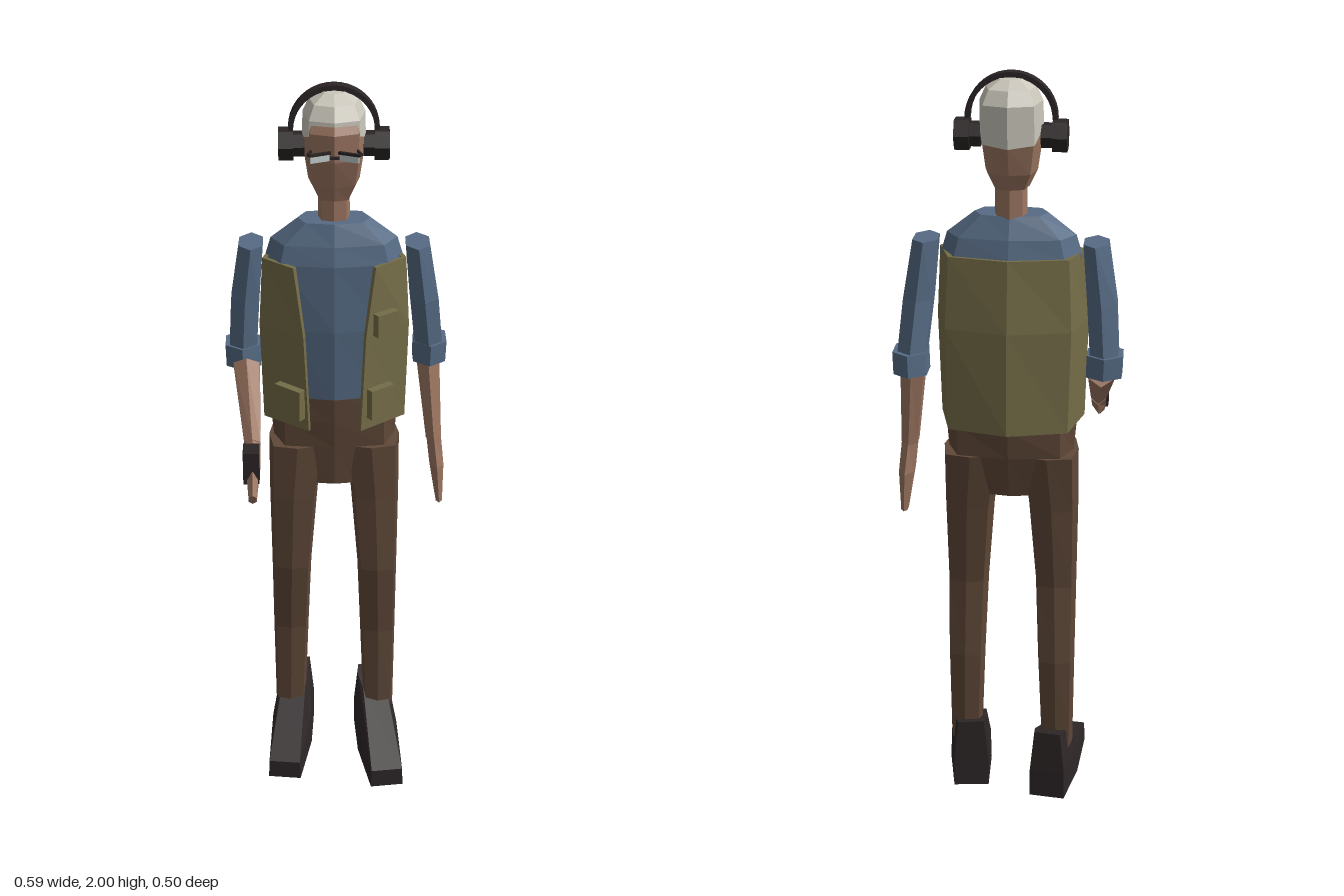
import * as THREE from 'three';

const mat = (name, color) => {
  const m = new THREE.MeshStandardMaterial({ color, flatShading: true });
  m.name = name;
  return m;
};

// cross-section: x half-width a, z half-depth b, tilted about x; sq pushes the diagonals out
function ring(x, y, z, a, b, { n = 8, tilt = 0, sq = 1.1 } = {}) {
  const pts = [];
  for (let i = 0; i < n; i++) {
    const t = (i / n) * Math.PI * 2 + (n === 8 ? 0 : Math.PI / n);
    const k = n === 8 && i % 2 ? sq : 1;
    const u = Math.cos(t) * a * k, w = Math.sin(t) * b * k;
    pts.push([x + u, y - w * Math.sin(tilt), z + w * Math.cos(tilt)]);
  }
  return pts;
}

// skin rings listed from bottom to top, with flat caps
function loft(rings) {
  const n = rings[0].length, pos = rings.flat(2), idx = [];
  for (let r = 0; r < rings.length - 1; r++) {
    for (let i = 0; i < n; i++) {
      const j = (i + 1) % n, a = r * n + i, b = r * n + j;
      idx.push(a, a + n, b + n, a, b + n, b);
    }
  }
  for (const [r, up] of [[0, false], [rings.length - 1, true]]) {
    const flat = rings[r].map((p) => new THREE.Vector2(p[0], p[2]));
    for (const [a, b, c] of THREE.ShapeUtils.triangulateShape(flat, [])) {
      const cross = flat[b].clone().sub(flat[a]).cross(flat[c].clone().sub(flat[a]));
      const o = r * n;
      if ((cross < 0) === up) idx.push(o + a, o + b, o + c);
      else idx.push(o + a, o + c, o + b);
    }
  }
  const g = new THREE.BufferGeometry();
  g.setAttribute('position', new THREE.Float32BufferAttribute(pos, 3));
  g.setIndex(idx);
  const out = g.toNonIndexed();
  out.computeVertexNormals();
  return out;
}

export function createModel() {
  const skin = mat('skin', 0x9c7661), shirt = mat('blue shirt', 0x566b84);
  const olive = mat('olive vest', 0x756d48), brown = mat('brown trousers', 0x5f4838);
  const dark = mat('dark leather', 0x2e2728), black = mat('black plastic', 0x2c2526);
  const grey = mat('grey hair', 0xcbc7bb), glass = mat('glass', 0xc4d0ce);

  const root = new THREE.Group();
  root.name = 'figure';
  const add = (name, geo, m, p = [0, 0, 0], rot = [0, 0, 0]) => {
    const mesh = new THREE.Mesh(geo, m);
    mesh.name = name;
    mesh.position.set(...p);
    mesh.rotation.set(...rot);
    root.add(mesh);
    return mesh;
  };
  const box = (name, m, size, p, rot) => add(name, new THREE.BoxGeometry(...size), m, p, rot);
  const cx = -0.006;

  // head, neck and hair
  const headRing = (y, z, a, b, o) => ring(cx, y, z, a, b, { sq: 1.13, ...o });
  add('neck', loft([ring(cx, 1.6, -0.118, 0.042, 0.045), ring(cx, 1.74, -0.115, 0.04, 0.043)]), skin);
  add('head', loft([
    headRing(1.712, -0.1, 0.045, 0.06), headRing(1.755, -0.103, 0.066, 0.08),
    headRing(1.83, -0.1, 0.077, 0.104), headRing(1.9, -0.098, 0.077, 0.104),
    headRing(1.93, -0.1, 0.068, 0.09),
  ]), skin);
  add('hair', loft([
    headRing(1.862, -0.106, 0.081, 0.11, { tilt: -0.33 }), headRing(1.93, -0.108, 0.079, 0.102),
    headRing(1.965, -0.108, 0.063, 0.082), headRing(1.985, -0.108, 0.03, 0.04),
  ]), grey);

  // headphones
  const arc = new THREE.Shape();
  arc.absarc(0, 0, 0.116, 0, Math.PI, false);
  arc.absarc(0, 0, 0.103, Math.PI, 0, true);
  add('headband', new THREE.ExtrudeGeometry(arc, { depth: 0.032, bevelEnabled: false, curveSegments: 10 }),
    black, [cx, 1.884, -0.122]);
  for (const s of [-1, 1]) {
    add('earCup', new THREE.CylinderGeometry(0.043, 0.043, 0.038, 6), black,
      [cx + s * 0.122, 1.843, -0.11], [0, 0, Math.PI / 2]);
    add('earPad', new THREE.CylinderGeometry(0.033, 0.033, 0.03, 6), black,
      [cx + s * 0.09, 1.843, -0.11], [0, 0, Math.PI / 2]);
    // glasses
    box('glassesFrame', black, [0.058, 0.007, 0.008], [cx + s * 0.037, 1.858, 0.014], [0, -s * 0.4, 0]);
    box('lens', glass, [0.05, 0.017, 0.004], [cx + s * 0.037, 1.846, 0.014], [0, -s * 0.4, 0]);
    box('glassesTemple', black, [0.005, 0.007, 0.03], [cx + s * 0.063, 1.857, 0.002], [0, s * 0.3, 0]);
  }
  box('glassesBridge', black, [0.024, 0.006, 0.007], [cx, 1.853, 0.029]);

  // shirt body
  add('shirtBody', loft([
    ring(cx, 1.16, -0.112, 0.155, 0.1), ring(cx, 1.36, -0.11, 0.165, 0.105),
    ring(cx, 1.54, -0.107, 0.18, 0.092), ring(cx, 1.59, -0.107, 0.165, 0.078),
    ring(cx, 1.645, -0.105, 0.094, 0.053),
  ]), shirt);

  // open vest: outer outline followed back along the inner one
  const vestRing = (y, kx, kz, front) => {
    const half = [[front, 0.03], [0.197, -0.065], [0.161, -0.21]];
    const outer = [...half.map(([x, z]) => [-x, z]), [0, -0.25], ...half.reverse()]
      .map(([x, z]) => [x * kx, (z + 0.11) * kz]);
    const inner = outer.map(([x, z]) => [x * 0.93, z * 0.91]).reverse();
    return [...outer, ...inner].map(([x, z]) => [cx + x, y, z - 0.11]);
  };
  add('vest', loft([
    vestRing(1.09, 0.96, 1, 0.072), vestRing(1.36, 1, 0.93, 0.082), vestRing(1.545, 0.95, 0.76, 0.112),
  ]), olive);
  box('chestPocket', olive, [0.066, 0.062, 0.022], [0.127, 1.4, 0.018], [0, 0.6, 0]);
  box('leftHipPocket', olive, [0.075, 0.085, 0.022], [0.115, 1.172, 0.015], [0, 0.65, 0]);
  box('rightHipPocket', olive, [0.085, 0.085, 0.022], [-0.125, 1.172, 0.013], [0, -0.7, 0]);

  // trousers
  add('hips', loft([
    ring(cx, 0.895, -0.105, 0.07, 0.075, { sq: 1.25 }), ring(cx, 1.01, -0.115, 0.165, 0.092, { sq: 1.15 }),
    ring(cx, 1.09, -0.115, 0.172, 0.098), ring(cx, 1.18, -0.112, 0.155, 0.098),
  ]), brown);
  for (const s of [-1, 1]) {
    const z = s < 0 ? -0.025 : 0;
    const legRing = (y, x, zc, a, b) => ring(cx + s * x, y, zc, a, b, { sq: 1.18 });
    add(s < 0 ? 'rightLeg' : 'leftLeg', loft([
      legRing(0.13, 0.128, -0.09 + z, 0.043, 0.049), legRing(0.4, 0.124, -0.097 + z * 0.9, 0.05, 0.058),
      legRing(0.62, 0.12, -0.08 + z * 0.6, 0.055, 0.066), legRing(0.85, 0.112, -0.1, 0.066, 0.08),
      legRing(1.01, 0.1, -0.112, 0.078, 0.092),
    ]), brown);

    // shoe: heel, instep and toe points for sole, upper edge and collar
    const shoeRing = (...h) => [...h.map(([x, y, zz]) => [x, y, zz]).reverse(),
      ...h.map(([x, y, zz]) => [-x, y, zz])];
    add(s < 0 ? 'rightShoe' : 'leftShoe', loft([
      shoeRing([0.046, 0, 0.157], [0.058, 0, -0.02], [0.048, 0, -0.17]),
      shoeRing([0.044, 0.055, 0.157], [0.056, 0.09, -0.02], [0.048, 0.08, -0.17]),
      shoeRing([0.034, 0.175, -0.08], [0.042, 0.19, -0.13], [0.036, 0.2, -0.168]),
    ].map((r) => r.slice(3).reverse().concat(r.slice(0, 3).reverse()).reverse())), dark,
    [cx + s * 0.128, 0, s < 0 ? -0.042 : 0], [0, s * 0.12, 0]);
  }

  // left arm, hanging
  const six = { n: 6 };
  add('leftSleeve', loft([
    ring(0.25, 1.25, -0.148, 0.042, 0.06, six), ring(0.232, 1.42, -0.118, 0.043, 0.062, six),
    ring(0.212, 1.575, -0.11, 0.036, 0.062, six),
  ]), shirt);
  add('leftCuff', loft([
    ring(0.25, 1.225, -0.147, 0.05, 0.066, six), ring(0.252, 1.285, -0.145, 0.05, 0.068, six),
  ]), shirt);
  add('leftForearm', loft([
    ring(0.265, 1.01, -0.1, 0.024, 0.04, six), ring(0.246, 1.24, -0.14, 0.036, 0.052, six),
  ]), skin);
  add('leftHand', loft([
    ring(0.285, 0.81, -0.094, 0.01, 0.025, six), ring(0.275, 0.93, -0.1, 0.022, 0.054, six),
    ring(0.265, 1.02, -0.1, 0.023, 0.04, six),
  ]), skin);

  // right arm, bent forward and holding a small device
  add('rightSleeve', loft([
    ring(-0.25, 1.25, -0.128, 0.042, 0.054, six), ring(-0.24, 1.42, -0.12, 0.043, 0.06, six),
    ring(-0.222, 1.575, -0.115, 0.036, 0.062, six),
  ]), shirt);
  add('rightCuff', loft([
    ring(-0.248, 1.225, -0.125, 0.053, 0.06, six), ring(-0.25, 1.285, -0.128, 0.053, 0.062, six),
  ]), shirt);
  const bent = (tilt) => ({ n: 6, tilt });
  add('rightForearm', loft([
    ring(-0.223, 1.09, 0.105, 0.024, 0.036, bent(-0.95)), ring(-0.24, 1.225, -0.09, 0.04, 0.05, bent(-0.9)),
  ]), skin);
  add('rightHand', loft([
    ring(-0.222, 1.0, 0.235, 0.012, 0.022, bent(-1)), ring(-0.222, 1.06, 0.15, 0.022, 0.05, bent(-0.95)),
    ring(-0.223, 1.09, 0.1, 0.023, 0.036, bent(-0.95)),
  ]), skin);
  box('handheldDevice', black, [0.042, 0.09, 0.055], [-0.225, 1.075, 0.178]);

  return root;
}
